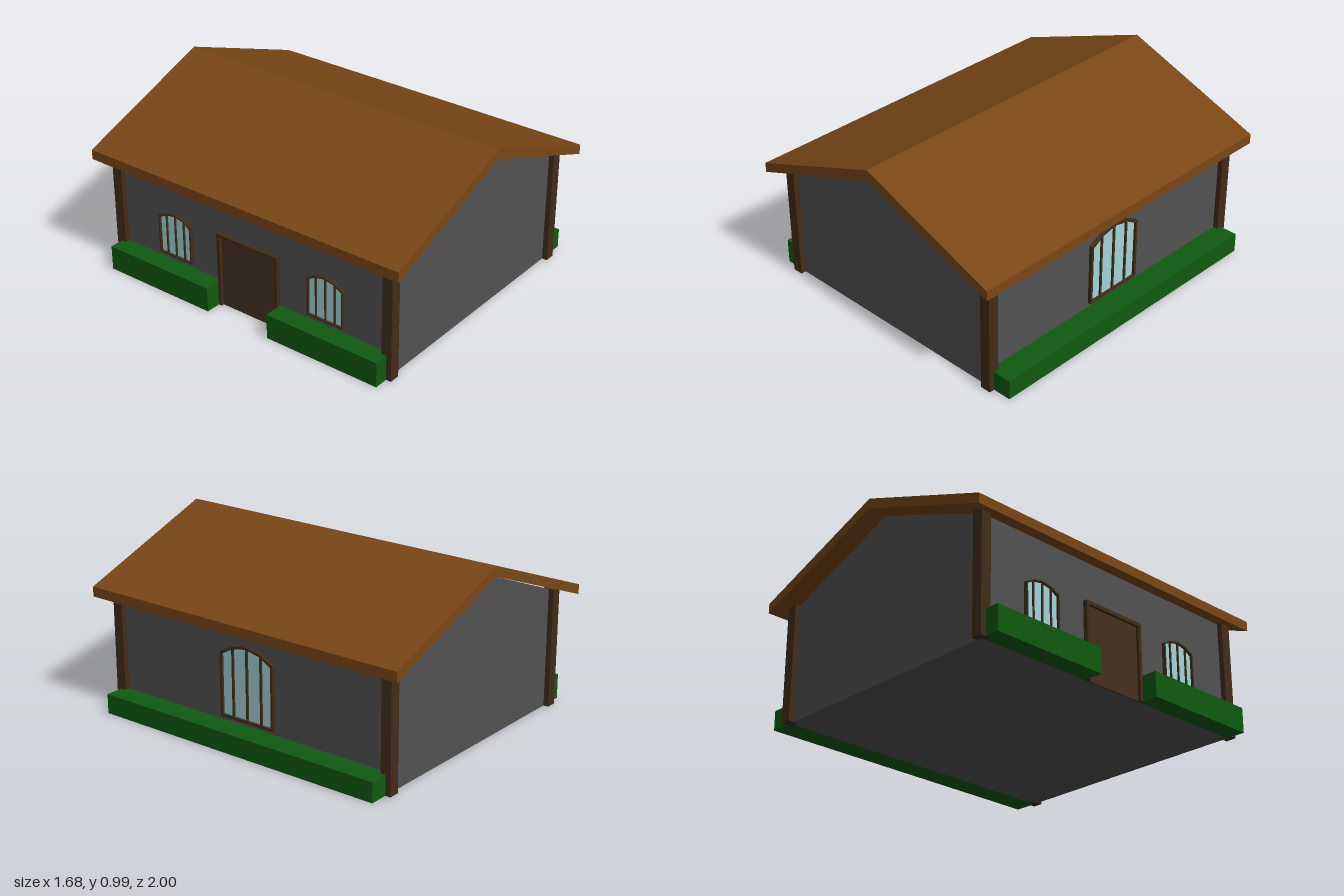
import * as THREE from 'three';

const mat = (color) => new THREE.MeshStandardMaterial({ color, flatShading: true });
const roofMat = mat(0x7a4716), wallMat = mat(0x525252), timberMat = mat(0x422d19);
const doorMat = mat(0x45301f), hedgeMat = mat(0x0f5a10), glassMat = mat(0xa2d4d8);

const RIDGE = -0.013, WALL_L = -0.735, WALL_R = 0.705, WALL_Z = 0.89;

function add(parent, name, geometry, material) {
  const mesh = new THREE.Mesh(geometry, material);
  mesh.name = name;
  parent.add(mesh);
  return mesh;
}

// Box given by its minimum and maximum along each axis
function box(parent, name, material, [x0, x1], [y0, y1], [z0, z1]) {
  const mesh = add(parent, name, new THREE.BoxGeometry(x1 - x0, y1 - y0, z1 - z0), material);
  mesh.position.set((x0 + x1) / 2, (y0 + y1) / 2, (z0 + z1) / 2);
  return mesh;
}

const toShape = (pts) => new THREE.Shape(pts.map(([x, y]) => new THREE.Vector2(x, y)));

function extrude(pts, depth, hole) {
  const shape = toShape(pts);
  if (hole) shape.holes.push(toShape(hole));
  return new THREE.ExtrudeGeometry(shape, { depth, bevelEnabled: false });
}

// Pointed-arch outline, shrunk inwards by t
function arch(t) {
  return [
    [-0.175 + t, t], [0.175 - t, t], [0.175 - t, 0.355 - t],
    [0.09, 0.397 - t], [0, 0.415 - t], [-0.09, 0.397 - t], [-0.175 + t, 0.355 - t],
  ];
}

// Arched window facing +z: frame, pane and three mullions
function archedWindow(name) {
  const group = new THREE.Group();
  group.name = name;
  add(group, 'windowFrame', extrude(arch(0), 0.02, arch(0.013)), timberMat);
  add(group, 'windowPane', extrude(arch(0.012), 0.006), glassMat);
  for (const x of [-0.093, 0, 0.093]) {
    const top = x === 0 ? 0.405 : 0.387;
    box(group, 'mullion', timberMat, [x - 0.006, x + 0.006], [0.01, top], [0, 0.015]);
  }
  return group;
}

export function createModel() {
  const house = new THREE.Group();
  house.name = 'house';

  // Walls with gable ends, closed underneath
  const walls = [[WALL_L, 0], [WALL_R, 0], [WALL_R, 0.657], [RIDGE, 0.935], [WALL_L, 0.657]];
  add(house, 'walls', extrude(walls, WALL_Z * 2), wallMat).position.z = -WALL_Z;

  // Pitched roof with plumb-cut eaves
  const roof = [
    [-0.83, 0.63], [RIDGE, 0.935], [0.803, 0.63],
    [0.803, 0.685], [RIDGE, 0.992], [-0.83, 0.685],
  ];
  add(house, 'roof', extrude(roof, 2), roofMat).position.z = -1;

  // Corner posts
  for (const x of [WALL_L, WALL_R]) {
    for (const z of [-WALL_Z, WALL_Z]) {
      box(house, 'cornerPost', timberMat, [x - 0.03, x + 0.03], [0, 0.67], [z - 0.03, z + 0.03]);
    }
  }

  // Hedges: one long, and a pair leaving the doorway free
  box(house, 'longHedge', hedgeMat, [WALL_R, 0.84], [0, 0.11], [-WALL_Z, WALL_Z]);
  for (const [z0, z1] of [[-WALL_Z, -0.2], [0.2, WALL_Z]]) {
    box(house, 'shortHedge', hedgeMat, [-0.845, WALL_L], [0, 0.14], [z0, z1]);
  }

  // Large window on the left wall
  const large = archedWindow('largeWindow');
  large.position.set(WALL_R, 0.135, 0);
  large.rotation.y = Math.PI / 2;
  house.add(large);

  // Two small windows beside the door
  for (const z of [-0.5, 0.5]) {
    const small = archedWindow('smallWindow');
    small.scale.set(0.64, 0.62, 1);
    small.position.set(WALL_L, 0.17, z);
    small.rotation.y = -Math.PI / 2;
    house.add(small);
  }

  // Door and its surround
  const door = new THREE.Group();
  door.name = 'door';
  box(door, 'doorPanel', doorMat, [-0.185, 0.185], [0, 0.415], [0, 0.008]);
  const outer = [[-0.2, 0], [0.2, 0], [0.2, 0.43], [-0.2, 0.43], [-0.2, 0]];
  const inner = [[-0.18, 0], [-0.18, 0.41], [0.18, 0.41], [0.18, 0]];
  add(door, 'doorFrame', extrude([outer[0], ...inner, ...outer.slice(1, 4)], 0.025), timberMat);
  door.position.x = WALL_L;
  door.rotation.y = -Math.PI / 2;
  house.add(door);

  return house;
}
